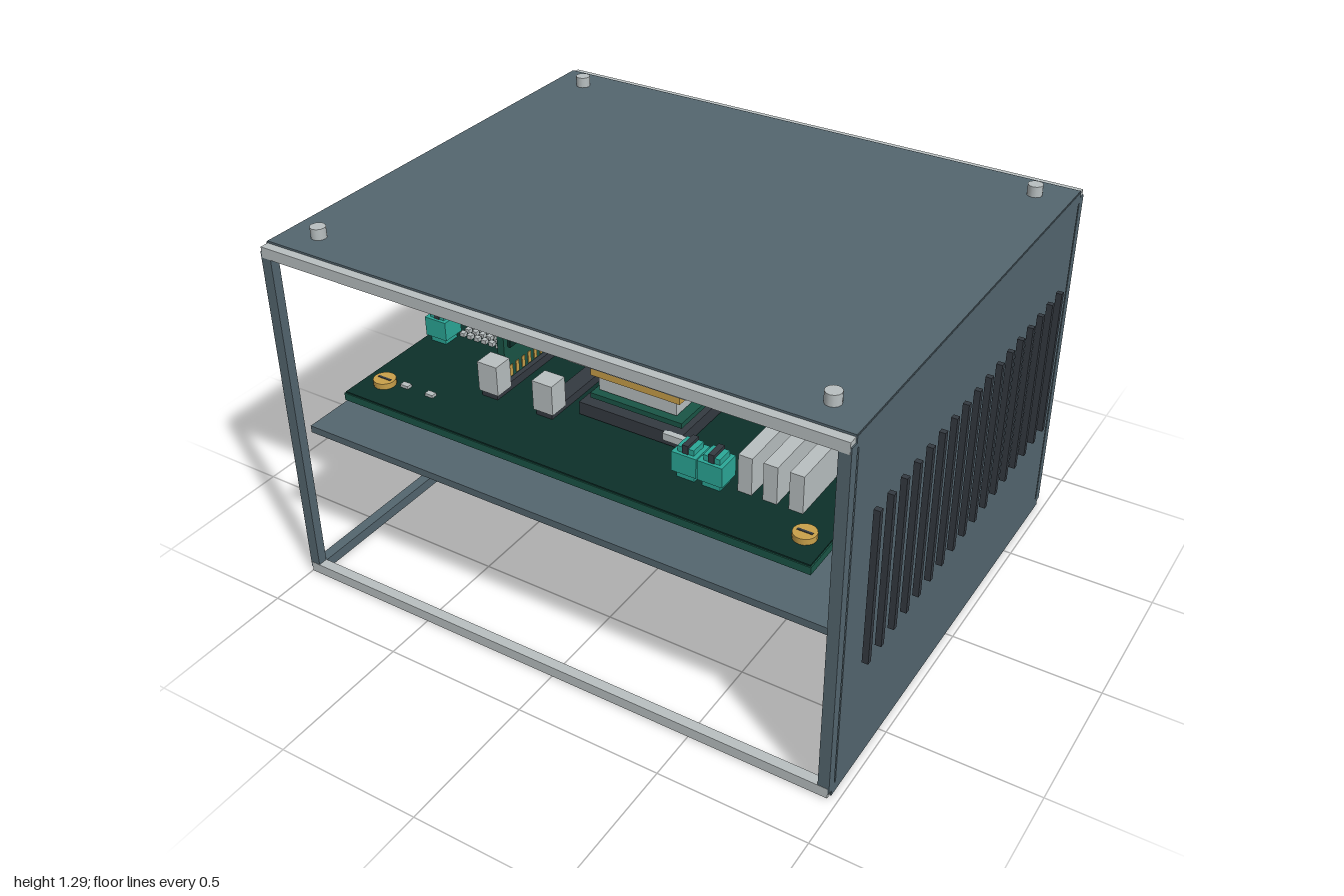
import * as THREE from 'three';

const mat = (name, color) => {
  const m = new THREE.MeshStandardMaterial({ color });
  m.name = name;
  return m;
};

export function createModel() {
  const root = new THREE.Group();
  root.name = 'openComputerCase';
  const slate = mat('slate', 0x54666f), light = mat('lightGrey', 0xb9c0c1), dark = mat('charcoal', 0x343a41);
  const mask = mat('boardGreen', 0x0d302a), green = mat('edgeGreen', 0x1a5546);
  const gold = mat('gold', 0xc9a04a), teal = mat('teal', 0x2ba898);

  let group = root;
  const part = (name) => {
    group = new THREE.Group();
    group.name = name;
    root.add(group);
  };
  const add = (name, geo, m, x, y, z) => {
    const mesh = new THREE.Mesh(geo, m);
    mesh.name = name;
    mesh.position.set(x, y, z);
    group.add(mesh);
    return mesh;
  };
  // Box given by its limits on each axis
  const box = (name, m, x0, x1, y0, y1, z0, z1) =>
    add(name, new THREE.BoxGeometry(x1 - x0, y1 - y0, z1 - z0), m, (x0 + x1) / 2, (y0 + y1) / 2, (z0 + z1) / 2);
  // Upright cylinder given by its base and top
  const cyl = (name, m, r, x, y0, y1, z, sides = 16) =>
    add(name, new THREE.CylinderGeometry(r, r, y1 - y0, sides), m, x, (y0 + y1) / 2, z);

  // Frame: light front and back rails, slate side rails and posts
  part('frame');
  for (const s of [-1, 1]) {
    const z0 = s > 0 ? 0.795 : -0.83, z1 = z0 + 0.035;
    box('bottomRail', light, -0.995, 0.97, 0.003, 0.04, z0, z1);
    box('topRail', light, -0.995, 0.97, 1.21, 1.247, z0, z1);
    const x0 = s > 0 ? 0.937 : -1, x1 = x0 + 0.037;
    box('sideBottomRail', slate, x0, x1, 0, 0.037, -0.812, 0.812);
    box('sideTopRail', slate, x0, x1, 1.212, 1.25, -0.8, 0.8);
    for (const p of [-1, 1]) box('post', slate, x0, x1, 0.02, 1.23, p * 0.8125 - 0.0165, p * 0.8125 + 0.0165);
  }

  // Lid with four screws
  part('lid');
  box('topPanel', slate, -0.995, 0.972, 1.235, 1.254, -0.8, 0.8);
  for (const x of [-0.88, 0.855]) for (const z of [-0.7, 0.7]) cyl('lidScrew', light, 0.025, x, 1.25, 1.29, z, 12);

  // Ventilated side panel
  part('sidePanel');
  box('panel', slate, 0.95, 0.974, 0.01, 1.24, -0.788, 0.788);
  for (let i = 0; i < 17; i++) {
    const z = -0.672 + i * 0.084;
    box('vent', dark, 0.98, 1, 0.415, 0.95, z - 0.009, z + 0.009);
  }

  // Shelf and power supply
  part('shelf');
  box('tray', slate, -0.955, 0.94, 0.56, 0.585, -0.78, 0.78);
  part('powerSupply');
  box('supplyBody', slate, -0.87, -0.415, 0.335, 0.685, -0.31, 0.29);
  box('socketPlate', dark, -0.835, -0.45, 0.385, 0.64, 0.29, 0.299);
  for (const x of [-0.785, -0.642, -0.503]) {
    box('socketBase', teal, x - 0.043, x + 0.043, 0.445, 0.52, 0.295, 0.325);
    box('socketHole', dark, x - 0.027, x + 0.027, 0.46, 0.497, 0.325, 0.329);
    box('socketCore', teal, x - 0.021, x + 0.021, 0.463, 0.492, 0.329, 0.334);
    box('socketKey', dark, x - 0.012, x + 0.012, 0.497, 0.513, 0.325, 0.333);
  }

  // Main board with gold mounting screws
  part('mainBoard');
  box('boardEdge', green, -0.85, 0.825, 0.685, 0.711, -0.715, 0.715);
  box('boardFace', mask, -0.846, 0.821, 0.711, 0.716, -0.711, 0.711);
  for (const x of [-0.77, 0.75]) for (const z of [-0.61, 0.61]) {
    cyl('mountScrew', gold, 0.037, x, 0.712, 0.736, z);
    box('screwSlot', dark, x - 0.025, x + 0.025, 0.735, 0.738, z - 0.004, z + 0.004);
  }
  for (let i = 0; i < 11; i++) {
    cyl('capacitor', light, 0.022, -0.64 + i * 0.106, 0.715, 0.788, -0.53, 12);
    box('trace', gold, -0.645 + i * 0.106, -0.635 + i * 0.106, 0.715, 0.722, -0.48, -0.4);
  }
  for (const x of [-0.7, -0.6]) box('chip', light, x - 0.015, x + 0.015, 0.715, 0.726, 0.58, 0.6);

  // Pin field beside the chipset
  part('pinField');
  for (let i = 0; i < 10; i++) for (let j = 0; j < 9; j++)
    box('pin', light, -0.75 + i * 0.03, -0.732 + i * 0.03, 0.715, 0.73, 0.01 + j * 0.028, 0.028 + j * 0.028);

  // Chipset block with a vented cap
  part('chipset');
  box('chipsetBase', light, -0.72, -0.56, 0.715, 0.8, -0.23, -0.04);
  box('chipsetSink', light, -0.765, -0.515, 0.795, 0.873, -0.265, -0.005);
  box('chipsetCap', light, -0.74, -0.54, 0.873, 0.884, -0.24, -0.03);
  for (let i = 0; i < 6; i++) box('capSlot', dark, -0.725 + i * 0.032, -0.71 + i * 0.032, 0.884, 0.887, -0.22, -0.05);

  // Teal connectors
  part('connectors');
  for (const [x, z] of [[-0.785, 0.29], [-0.7, -0.45], [-0.64, -0.38], [0.322, 0.52], [0.41, 0.52]]) {
    box('connectorBody', teal, x - 0.042, x + 0.042, 0.738, 0.806, z - 0.04, z + 0.04);
    box('connectorNeck', teal, x - 0.028, x + 0.028, 0.806, 0.825, z - 0.028, z + 0.028);
    box('connectorSlot', dark, x - 0.01, x + 0.01, 0.8, 0.835, z - 0.031, z + 0.031);
    box('connectorFoot', teal, x - 0.03, x + 0.03, 0.715, 0.738, z - 0.03, z + 0.03);
  }

  // Memory slots, one holding a card
  part('memory');
  for (const x of [-0.433, -0.222]) {
    box('memorySlot', dark, x - 0.03, x + 0.03, 0.715, 0.745, -0.22, 0.5);
    for (const z of [-0.21, 0.47]) box('slotClip', light, x - 0.037, x + 0.037, 0.735, 0.84, z - 0.035, z + 0.035);
  }
  box('memoryCard', green, -0.446, -0.42, 0.745, 1.0, -0.17, 0.43);
  for (let i = 0; i < 5; i++) box('memoryChip', mask, -0.456, -0.41, 0.86, 0.955, -0.14 + i * 0.115, -0.05 + i * 0.115);
  for (let i = 0; i < 18; i++) box('contact', gold, -0.449, -0.417, 0.75, 0.79, -0.15 + i * 0.032, -0.135 + i * 0.032);

  // Row of tall grey expansion slots
  part('expansionSlots');
  for (const x of [0.505, 0.588, 0.673]) box('expansionSlot', light, x - 0.023, x + 0.023, 0.715, 0.845, -0.02, 0.52);

  // Round fan with rim, hub and blades
  const fan = (x, y, z, r, rim) => {
    cyl('fanBody', dark, r, x, y, y + rim, z, 32);
    cyl('fanFace', light, r * 0.8, x, y + rim, y + rim + 0.01, z, 32);
    cyl('fanHub', light, r * 0.3, x, y + rim + 0.01, y + rim + 0.018, z, 24);
    for (let i = 0; i < 8; i++) {
      const blade = add('fanBlade', new THREE.BoxGeometry(r * 0.45, 0.005, 0.012), dark, 0, 0, 0);
      const a = (i * Math.PI) / 4;
      blade.position.set(x + Math.cos(a) * r * 0.53, y + rim + 0.011, z - Math.sin(a) * r * 0.53);
      blade.rotation.y = a;
    }
  };

  // Processor and its finned cooler
  part('processorCooler');
  box('processorSocket', dark, -0.13, 0.24, 0.725, 0.77, 0.07, 0.44);
  box('socketLever', light, 0.18, 0.27, 0.745, 0.77, 0.43, 0.45);
  box('processorBoard', green, -0.1, 0.23, 0.785, 0.803, 0.09, 0.42);
  box('processorLid', light, -0.08, 0.2, 0.81, 0.853, 0.12, 0.4);
  box('lowerCore', light, -0.04, 0.16, 0.765, 0.87, 0.16, 0.36);
  box('copperPlate', gold, -0.1, 0.22, 0.864, 0.888, 0.1, 0.415);
  box('coolerCore', light, -0.01, 0.14, 0.88, 1.16, 0.18, 0.33);
  for (let i = 0; i < 8; i++) box('coolerFin', light, -0.15, 0.27, 0.922 + i * 0.03, 0.932 + i * 0.03, 0.05, 0.46);
  fan(0.06, 1.155, 0.255, 0.195, 0.032);
  box('fanPlug', teal, 0.21, 0.27, 1.135, 1.165, 0.23, 0.28);

  // Graphics card with twin fans
  part('graphicsCard');
  box('cardSlot', dark, -0.12, 0.4, 0.715, 0.765, -0.46, -0.4);
  box('cardBoard', green, -0.1, 0.74, 0.785, 0.81, -0.41, -0.07);
  box('cardShroud', slate, -0.045, 0.725, 0.81, 0.955, -0.4, -0.08);
  for (const x of [0.135, 0.545]) fan(x, 0.955, -0.24, 0.13, 0.028);
  box('cardPort', dark, 0.74, 0.85, 0.77, 0.855, -0.34, -0.14);

  // Rear port block with antenna
  part('portBlock');
  box('blockBody', light, 0.645, 0.82, 0.715, 0.885, -0.53, -0.43);
  cyl('antenna', light, 0.013, 0.744, 0.88, 1.0, -0.48, 12);

  return root;
}
